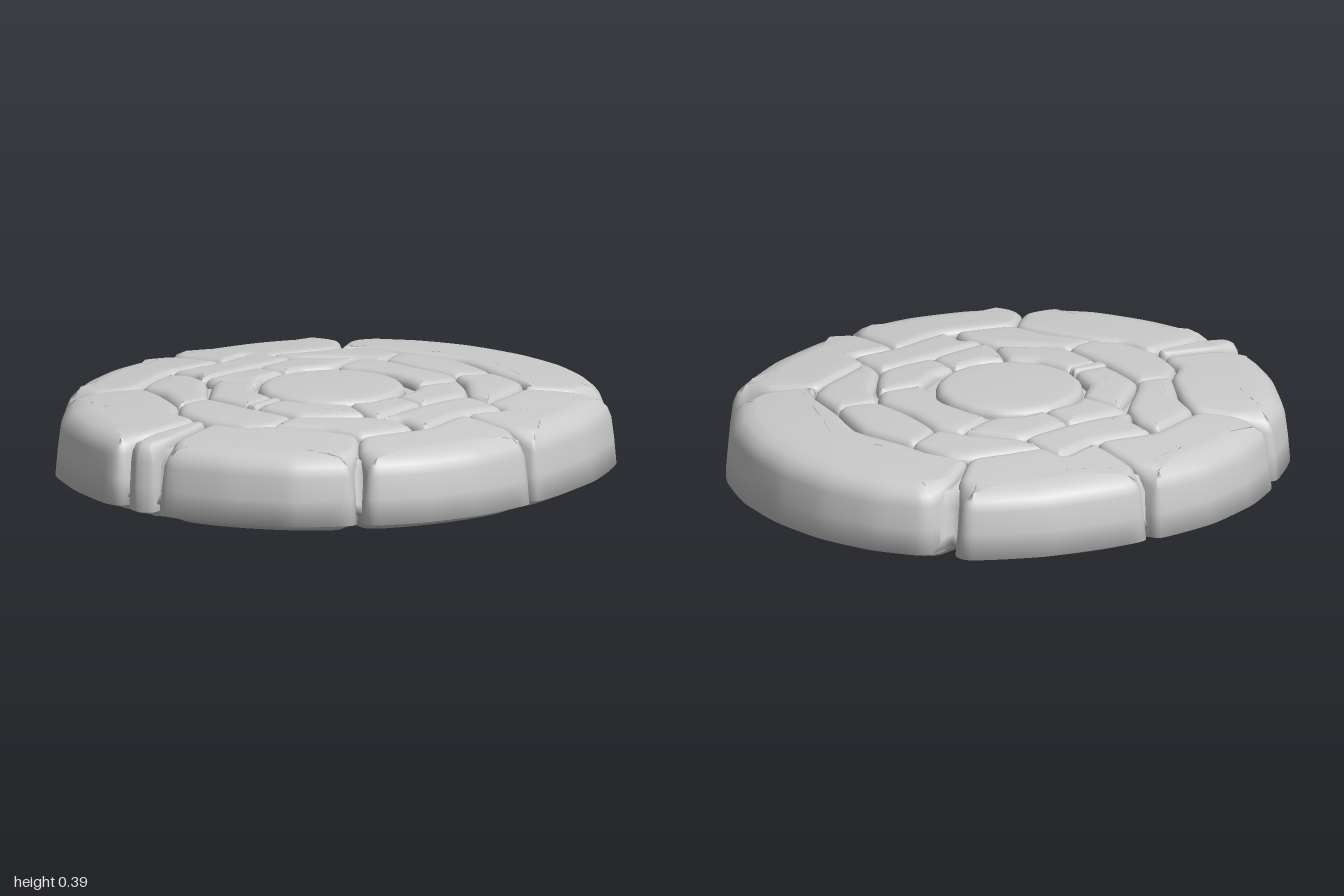
import * as THREE from 'three';

const RX = 0.93; // half width; half depth is 1
const rhoAt = (x, z) => Math.hypot(x / RX, z);
const dome = (x, z) => 0.388 - 0.055 * rhoAt(x, z) ** 2;
const material = new THREE.MeshStandardMaterial({ color: 0xcccccc });

// Joins closed rings of equal length, outermost first, into a smooth skin
function skin(rings, name) {
  const n = rings[0].length, pos = rings.flat(2), index = [];
  for (let i = 0; i < rings.length - 1; i++) {
    for (let j = 0; j < n; j++) {
      const a = i * n + j, b = i * n + (j + 1) % n;
      index.push(a, b, a + n, b, b + n, a + n);
    }
  }
  const geo = new THREE.BufferGeometry();
  geo.setAttribute('position', new THREE.Float32BufferAttribute(pos, 3));
  geo.setIndex(index);
  geo.computeVertexNormals();
  const mesh = new THREE.Mesh(geo, material);
  mesh.name = name;
  return mesh;
}

// A stone with rounded edges, draped over the dome; outline is a list of [x, z]
function stone(name, outline, { rim = false, bevel = 1, n = 96 } = {}) {
  let pts = outline.map(([x, z]) => new THREE.Vector3(x, 0, z));
  if (THREE.ShapeUtils.area(outline.map(([x, y]) => ({ x, y }))) > 0) pts.reverse();
  const curve = new THREE.CatmullRomCurve3(pts, true, 'catmullrom', 0.3);
  pts = curve.getSpacedPoints(n).slice(0, n);
  const centre = pts.reduce((s, p) => s.add(p), new THREE.Vector3()).divideScalar(n);
  const edge = pts.map((p, i) => {
    const t = pts[(i + 2) % n].clone().sub(pts[(i + n - 2) % n]).normalize();
    // k is 1 on the outer wall of a rim stone, where the rounding is wider
    const k = rim ? THREE.MathUtils.smoothstep(rhoAt(p.x, p.z), 0.85, 0.97) : 0;
    return { p, k, nx: t.z, nz: -t.x };
  });
  const ring = (inset, height, scale = 1) => edge.map((e) => {
    const d = inset(e.k) * bevel;
    const x = centre.x + (e.p.x + e.nx * d - centre.x) * scale;
    const z = centre.z + (e.p.z + e.nz * d - centre.z) * scale;
    return [x, height(x, z, e.k), z];
  });
  const rings = rim
    ? [ring(() => 0.06, () => 0.09), ring(() => 0, () => 0.1), ring((k) => 0.008 * k, () => 0.19)]
    : [ring(() => 0, (x, z) => dome(x, z) - 0.08)];
  const profile = [[0, 0.03], [0.006, 0.014], [0.018, 0.004], [0.035, 0]];
  for (const [inset, drop] of profile) {
    rings.push(ring((k) => inset * (1 + 1.5 * k) + 0.018 * k,
      (x, z, k) => dome(x, z) - drop * (1 + 1.2 * k)));
  }
  for (const s of [0.7, 0.35, 0]) {
    rings.push(ring((k) => 0.035 * (1 + 1.5 * k) + 0.018 * k, dome, s));
  }
  return skin(rings, name);
}

// Body: flat underside, flared lower edge and the bed seen in the grooves
function body() {
  const n = 240;
  const right = [[0.62, -0.7], [0.92, -0.05], [0.72, 0.62], [0.075, 0.99]];
  const notches = right.flatMap(([x, z]) => [Math.atan2(x / RX, z), Math.atan2(-x / RX, z)]);
  const notch = (a) => Math.max(...notches.map((b) => {
    const d = Math.atan2(Math.sin(a - b), Math.cos(a - b));
    return Math.exp(-((d / 0.045) ** 2));
  }));
  const ring = (rho, y) => Array.from({ length: n }, (_, i) => {
    const a = i / n * Math.PI * 2, g = notch(a) * Math.max(0, (rho - 0.5) / 0.5);
    const r = rho * (1 - 0.04 * g), x = RX * r * Math.sin(a), z = r * Math.cos(a);
    return [x, y === undefined ? dome(x, z) - 0.035 : y + (y < 0.15 ? 0.035 * g : 0), z];
  });
  return skin([
    ring(0, 0), ring(0.48, 0), ring(0.5, 0.001), ring(0.72, 0.025), ring(0.9, 0.065),
    ring(0.985, 0.1), ring(0.965, 0.13), ring(0.95, 0.26), ring(0.92),
    ring(0.8), ring(0.6), ring(0.4), ring(0.2), ring(0),
  ], 'body');
}

const flip = (pts) => pts.map(([x, z]) => [-x, z]);
// Completes a right half that starts and ends on the centre line
const whole = (half) => half.concat(flip(half).reverse().filter(([x]) => x !== 0));

export function createModel() {
  const group = new THREE.Group();
  group.name = 'pavedStoneDisc';
  group.add(body());

  // Round middle stone
  const circle = Array.from({ length: 16 }, (_, i) => {
    const a = i / 16 * Math.PI * 2;
    return [0.255 * Math.cos(a), 0.01 + 0.26 * Math.sin(a)];
  });
  group.add(stone('centreStone', circle));

  // Stones lying across the centre line
  const middle = {
    innerBackStone: [[0, -0.26], [0.1, -0.245], [0.2, -0.23], [0.24, -0.37], [0.16, -0.43], [0, -0.42]],
    outerBackStone: [[0, -0.63], [0.2, -0.58], [0.22, -0.53], [0.165, -0.435], [0, -0.42]],
    outerFrontStone: [[0, 0.425], [0.2, 0.42], [0.23, 0.53], [0.15, 0.62], [0, 0.65]],
  };
  for (const [name, half] of Object.entries(middle)) group.add(stone(name, whole(half)));
  group.add(stone('frontPebble', whole([[0, 0.28], [0.018, 0.285], [0.025, 0.41], [0, 0.42]]),
    { bevel: 0.35 }));

  // Inner and outer rings, right half, mirrored
  const paired = {
    innerRearSide: [[0.205, -0.22], [0.25, -0.37], [0.41, -0.245], [0.4, -0.035], [0.265, -0.035], [0.25, -0.12]],
    innerFrontSide: [[0.265, -0.03], [0.4, -0.025], [0.42, 0.2], [0.36, 0.215], [0.23, 0.16], [0.255, 0.08]],
    innerFront: [[0.225, 0.165], [0.36, 0.22], [0.25, 0.37], [0.2, 0.41], [0.025, 0.41], [0.02, 0.28], [0.14, 0.24]],
    outerRear: [[0.22, -0.57], [0.38, -0.55], [0.44, -0.48], [0.48, -0.36], [0.52, -0.23], [0.41, -0.25], [0.26, -0.38], [0.175, -0.43]],
    outerSide: [[0.42, -0.23], [0.6, -0.22], [0.585, -0.05], [0.61, 0.17], [0.5, 0.175], [0.43, 0.21], [0.405, 0]],
    outerFront: [[0.39, 0.23], [0.5, 0.19], [0.59, 0.22], [0.53, 0.41], [0.4, 0.45], [0.23, 0.54], [0.2, 0.42], [0.26, 0.36]],
  };
  // Large stones of the outer rim
  const rim = {
    rimRear: [[0.45, -0.5], [0.63, -0.69], [0.7, -0.69], [0.77, -0.58], [0.84, -0.43], [0.9, -0.19], [0.895, -0.06], [0.59, -0.055], [0.61, -0.2], [0.52, -0.23], [0.48, -0.36]],
    rimSide: [[0.59, -0.045], [0.9, -0.04], [0.925, 0.05], [0.915, 0.22], [0.85, 0.43], [0.76, 0.58], [0.7, 0.59], [0.54, 0.43], [0.61, 0.18]],
    rimFront: [[0.53, 0.43], [0.7, 0.62], [0.67, 0.69], [0.56, 0.81], [0.36, 0.92], [0.16, 0.985], [0.085, 0.96], [0.04, 0.66], [0.15, 0.62], [0.23, 0.54], [0.4, 0.455]],
  };
  for (const [set, isRim] of [[paired, false], [rim, true]]) {
    for (const [name, outline] of Object.entries(set)) {
      group.add(stone(name + 'Left', outline, { rim: isRim }));
      group.add(stone(name + 'Right', flip(outline), { rim: isRim }));
    }
  }
  const back = [[0, -0.64], [0.2, -0.59], [0.39, -0.55], [0.45, -0.5], [0.58, -0.7], [0.57, -0.79], [0.42, -0.9], [0.22, -0.975], [0, -1]];
  group.add(stone('rimBack', whole(back), { rim: true }));

  // Narrow wedge between the two front rim stones
  group.add(stone('rimFrontWedge', whole([[0, 0.66], [0.025, 0.68], [0.045, 0.85], [0.06, 0.96], [0.03, 0.99], [0, 1]]),
    { rim: true, bevel: 0.4 }));
  return group;
}
